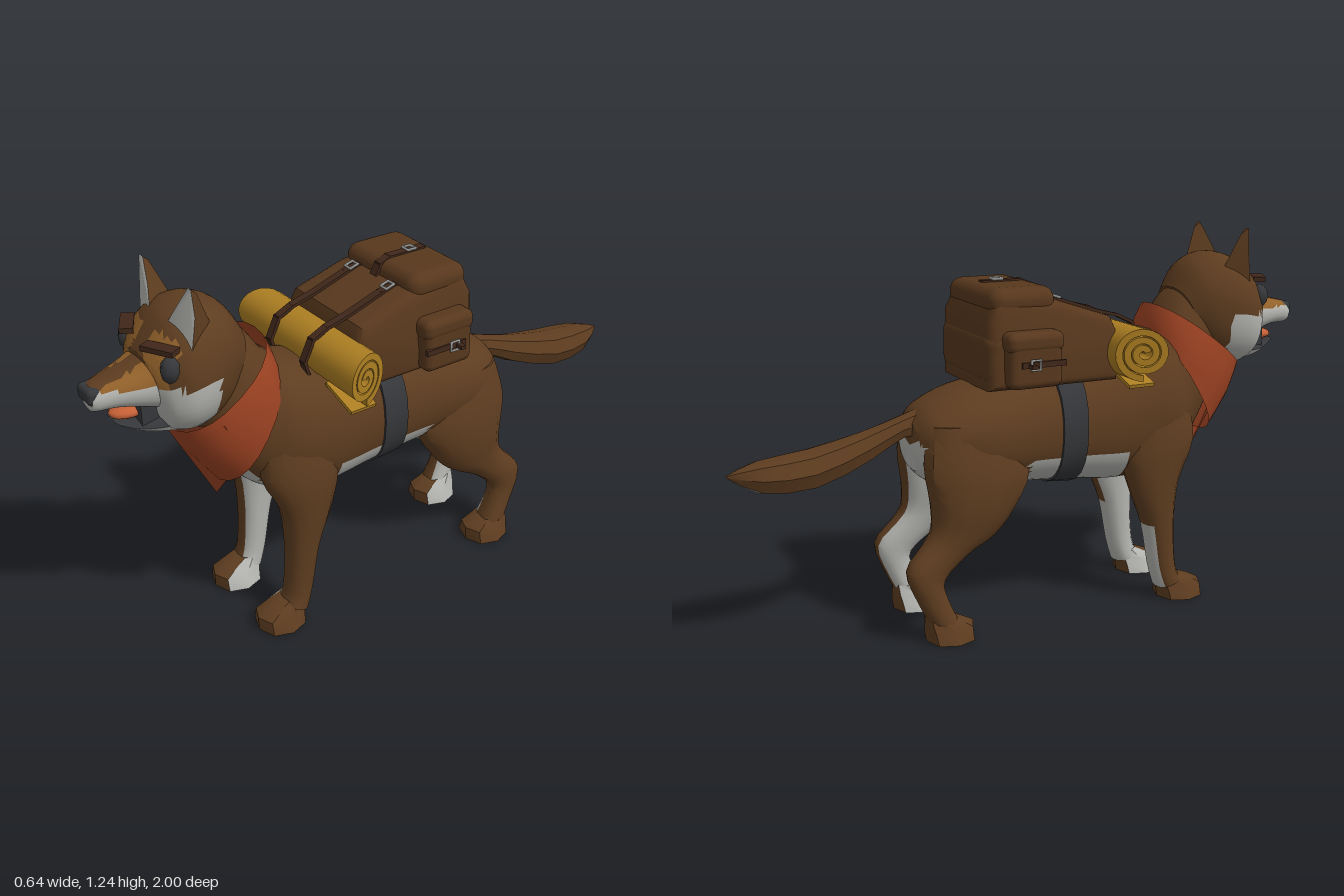
import * as THREE from 'three';
import { toCreasedNormals } from 'three/addons/utils/BufferGeometryUtils.js';
import { RoundedBoxGeometry } from 'three/addons/geometries/RoundedBoxGeometry.js';
import { ConvexGeometry } from 'three/addons/geometries/ConvexGeometry.js';

const mat = (name, color) => Object.assign(new THREE.MeshStandardMaterial({ color }), { name });

// Sorts triangles into material groups; pick(centroid, normal) returns the material index
function paint(geo, count, pick) {
  const p = (geo.index ? geo.toNonIndexed() : geo).attributes.position;
  const buckets = Array.from({ length: count }, () => []);
  const tri = new THREE.Triangle(), c = new THREE.Vector3(), n = new THREE.Vector3();
  for (let i = 0; i < p.count; i += 3) {
    tri.setFromAttributeAndIndices(p, i, i + 1, i + 2);
    if (tri.getArea() < 1e-9) continue;
    tri.getMidpoint(c);
    tri.getNormal(n);
    for (const v of [tri.a, tri.b, tri.c]) buckets[pick(c, n)].push(v.x, v.y, v.z);
  }
  const out = new THREE.BufferGeometry();
  out.setAttribute('position', new THREE.Float32BufferAttribute(buckets.flat(), 3));
  let start = 0;
  buckets.forEach((b, i) => {
    if (b.length) out.addGroup(start, b.length / 3, i);
    start += b.length / 3;
  });
  return toCreasedNormals(out, 0.65);
}

// Smooth in-between sections
function refine(rows, sub) {
  const out = [];
  for (let i = 0; i < rows.length - 1; i++) {
    const [a, b, c, d] = [-1, 0, 1, 2].map(k => rows[Math.min(rows.length - 1, Math.max(0, i + k))]);
    for (let s = 0; s < sub; s++) {
      const t = s / sub;
      out.push(b.map((v, k) => {
        const cubic = 3 * (v - c[k]) + d[k] - a[k];
        const square = 2 * a[k] - 5 * v + 4 * c[k] - d[k];
        return v + 0.5 * t * (c[k] - a[k] + t * (square + t * cubic));
      }));
    }
  }
  return [...out, rows[rows.length - 1]];
}

// Rounded body from sections [z1, y1, z2, y2, halfWidth, centreX]: two profile points and a width
function loft(rows, sides, { sub = 3, side = 1, count = 1, pick = () => 0, caps = true } = {}) {
  const pow = v => Math.sign(v) * Math.abs(v) ** 0.87;
  const rings = refine(rows.map(r => [...r, 0].slice(0, 6)), sub).map(([z1, y1, z2, y2, w, cx]) =>
    Array.from({ length: sides + 1 }, (_, j) => {
      const a = (j % sides) / sides * Math.PI * 2, k = pow(Math.cos(a)) / 2;
      return [cx * side + w * pow(Math.sin(a)), (y1 + y2) / 2 + (y1 - y2) * k, (z1 + z2) / 2 + (z1 - z2) * k];
    }));
  const pos = [];
  const mid = r => [0, 1, 2].map(k => (r[0][k] + r[sides / 2][k]) / 2);
  const first = rings[0], last = rings[rings.length - 1];
  for (let j = 0; j < sides; j++) {
    for (let i = 0; i < rings.length - 1; i++) {
      const A = rings[i][j], B = rings[i][j + 1], C = rings[i + 1][j + 1], D = rings[i + 1][j];
      pos.push(...A, ...D, ...C, ...A, ...C, ...B);
    }
    if (caps) pos.push(...mid(first), ...first[j], ...first[j + 1], ...mid(last), ...last[j + 1], ...last[j]);
  }
  const geo = new THREE.BufferGeometry();
  geo.setAttribute('position', new THREE.Float32BufferAttribute(pos, 3));
  return paint(geo, count, pick);
}

export function createModel() {
  const fur = mat('brown fur', 0x5e3d20), white = mat('pale fur', 0xb4b5b0), tan = mat('tan fur', 0x92612a);
  const dark = mat('dark grey', 0x36373a), leather = mat('pack leather', 0x58381d), strapMat = mat('strap leather', 0x40271a);
  const yellow = mat('yellow blanket', 0xac7e22), red = mat('red cloth', 0x9c4222), tongueMat = mat('tongue', 0xc46036);
  const metal = mat('buckle metal', 0x9a9a98);
  red.side = THREE.DoubleSide;
  const model = new THREE.Group(), dog = new THREE.Group(), pack = new THREE.Group();
  dog.name = 'dog';
  dog.position.x = -.008;
  pack.name = 'backpack';
  model.add(dog, pack);
  const add = (name, geo, material, x = 0, y = 0, z = 0, parent = dog) => {
    const m = new THREE.Mesh(geo, material);
    m.name = name;
    m.position.set(x, y, z);
    parent.add(m);
    return m;
  };

  // Torso and neck, with pale belly, chest and rump
  add('torso', loft([
    [-.43, .68, -.42, .52, .10], [-.38, .73, -.37, .48, .16], [-.25, .78, -.22, .46, .195], [-.05, .81, -.04, .445, .19],
    [.10, .83, .12, .43, .19], [.28, .86, .30, .415, .20], [.39, .895, .46, .46, .20], [.45, .94, .56, .54, .168],
    [.50, 1.01, .67, .72, .14], [.56, 1.07, .72, .78, .13]], 48, {
    sub: 6, count: 2, pick: c => (c.y < .545 && c.z > -.09 && c.z < .27) || (c.z > .3 && c.y < .66 && Math.abs(c.x) < .11)
      || (c.z < -.36 && c.y < .62 && Math.abs(c.x) < .14) ? 1 : 0 }), [fur, white]);

  // Tail with pale underside
  add('tail', loft([[-1, .572, -1, .565, .003], [-.905, .607, -.905, .505, .058], [-.75, .625, -.74, .50, .075],
    [-.58, .66, -.56, .565, .05], [-.46, .695, -.45, .625, .04], [-.36, .73, -.36, .62, .045]], 8, {
    sub: 2, count: 2, pick: (c, n) => n.y < -.4 && c.z < -.55 ? 1 : 0 }), [fur, white]);

  // Legs and paws, pale on the inside
  const frontLeg = [[.50, .72, .28, .66, .065, .125], [.53, .56, .26, .52, .075, .135], [.47, .42, .30, .38, .062, .145],
    [.455, .27, .345, .27, .054, .145], [.465, .12, .375, .12, .05, .145], [.485, .07, .40, .04, .055, .145]];
  const hindLeg = [[-.12, .68, -.40, .68, .075, .10], [-.07, .52, -.425, .56, .085, .12], [-.13, .40, -.41, .44, .08, .13],
    [-.20, .32, -.41, .36, .062, .135], [-.29, .27, -.44, .31, .05, .14], [-.375, .20, -.50, .235, .045, .15],
    [-.37, .14, -.465, .13, .042, .155], [-.34, .07, -.42, .04, .05, .155]];
  const paw = (z, x) => [[z - .09, .085, z - .16, .09, .042, x], [z - .04, .066, z - .165, .055, .056, x],
    [z, .045, z - .165, .03, .068, x], [z, 0, z - .16, 0, .082, x]];
  for (const side of [1, -1]) {
    const inner = (c, n) => n.x * side < -.4 || n.y < -.9 ? 1 : 0;
    const opts = { side, count: 2, pick: inner };
    add('frontLeg', loft(frontLeg, 14, { ...opts, pick: (c, n) => inner(c, n) || (n.z < -.6 && c.y < .28) ? 1 : 0 }), [fur, white]);
    add('frontPaw', loft(paw(.57, .14), 8, { ...opts, sub: 1 }), [fur, white]);
    add('hindLeg', loft(hindLeg, 14, opts), [fur, white]);
    add('hindPaw', loft(paw(-.28, .15), 8, { ...opts, sub: 1 }), [fur, white]);
  }

  // Head: brown skull, tan mask, pale cheeks
  const face = c => {
    const x = Math.abs(c.x);
    if (c.z > .66 && c.y < .955) return 1;
    return c.z > .755 && x > .035 && x < .14 && c.y < 1.09 ? 2 : 0;
  };
  const coat = [fur, white, tan];
  add('head', loft([[.52, 1.04, .60, .82, .12], [.575, 1.12, .64, .785, .155], [.66, 1.155, .70, .765, .178],
    [.745, 1.13, .75, .77, .18], [.80, 1.07, .79, .79, .15], [.83, 1.025, .81, .84, .11]], 40, { sub: 5, count: 3, pick: face }), coat);
  add('muzzle', loft([[.78, 1.03, .78, .85, .125], [.85, 1.00, .85, .872, .095], [.92, .982, .92, .888, .068],
    [.98, .967, .98, .89, .047], [.99, .955, .99, .90, .038]], 24, { count: 3, pick: face }), coat);
  add('lowerJaw', loft([[.75, .86, .75, .772, .11], [.83, .838, .83, .79, .08], [.88, .832, .88, .81, .058],
    [.925, .842, .92, .83, .032]], 12, { count: 2, pick: (c, n) => n.y > .3 ? 1 : 0 }), [white, dark]);
  add('mouthLining', new THREE.BoxGeometry(.125, .08, .07), dark, 0, .85, .825);
  add('tongue', new THREE.SphereGeometry(1, 14, 8), tongueMat, 0, .855, .87).scale.set(.043, .02, .062);
  add('nose', new RoundedBoxGeometry(.085, .05, .05, 2, .016), dark, 0, .941, .975);
  for (const s of [1, -1]) {
    add('eye', new THREE.SphereGeometry(1, 8, 6), dark, s * .13, 1.01, .79).scale.set(.03, .04, .032);
    add('brow', new THREE.BoxGeometry(.105, .016, .04), strapMat, s * .1, 1.066, .803).rotation.set(0, s * .5, 0);
    // Ear: pale hollow in front, brown behind
    const pts = [[.155, 1.05, .735], [.045, 1.10, .755], [.11, 1.08, .64], [.152, 1.24, .722], [.132, 1.238, .72],
      [.16, 1.16, .72], [.085, 1.17, .735], [.14, 1.22, .70]];
    add('ear', paint(new ConvexGeometry(pts.map(([x, y, z]) => new THREE.Vector3(x * s, y, z))), 2,
      (c, n) => n.z > .3 ? 1 : 0), [fur, white]);
  }

  // Neck scarf: band sweeping down the sides and folded triangle at the chest
  add('scarfBand', loft([[.415, .90, .63, .545, .182], [.425, .945, .71, .66, .182], [.445, .99, .757, .762, .168]], 24,
    { sub: 2, caps: false }), red);
  for (const s of [1, -1]) {
    const A = [0, .757, .762], B = [0, .467, .612], C = [s * .158, .665, .60], D = [s * .165, .80, .655];
    const geo = new THREE.BufferGeometry();
    geo.setAttribute('position', new THREE.Float32BufferAttribute(
      (s > 0 ? [A, B, C, A, C, D] : [A, C, B, A, D, C]).flat(), 3));
    geo.computeVertexNormals();
    add('scarfTriangle', geo, red);
  }

  // Girth strap around the belly
  add('girthStrap', loft([[.02, .832, .02, .432, .198], [.107, .845, .107, .424, .198]], 24, { sub: 1 }), dark);

  // Backpack body from its side profile, narrowing upwards
  const profile = [[.19, .81], [.195, .92], [.175, .965], [.01, 1.02], [-.18, 1.035], [-.2, .99], [-.2, .81]];
  const body = new THREE.ExtrudeGeometry(new THREE.Shape(profile.map(([z, y]) => new THREE.Vector2(-z, y))),
    { depth: .33, bevelSize: .028, bevelThickness: .04, bevelSegments: 4 });
  body.translate(0, 0, -.165).rotateY(Math.PI / 2);
  const bp = body.attributes.position;
  for (let i = 0; i < bp.count; i++) bp.setX(i, bp.getX(i) * (1 - .8 * Math.max(0, bp.getY(i) - .92)));
  add('packBody', toCreasedNormals(body, .7), leather, 0, 0, 0, pack);
  add('packLid', new RoundedBoxGeometry(.37, .09, .22, 4, .042), leather, 0, 1.05, -.105, pack);
  add('packBasePocket', new RoundedBoxGeometry(.40, .17, .09, 4, .043), leather, 0, .88, -.19, pack);

  // Straps: short bars joined along a path in the side plane
  const strap = (name, x, w, path) => path.slice(1).forEach(([z, y], i) => {
    const [z0, y0] = path[i], len = Math.hypot(z - z0, y - y0);
    const bar = add(name, new THREE.BoxGeometry(w, .01, len + .008), strapMat, x, (y + y0) / 2, (z + z0) / 2, pack);
    bar.rotation.x = -Math.atan2(y - y0, z - z0);
  });
  const buckle = (x, y, z, rx, ry) =>
    add('buckle', new THREE.TorusGeometry(.021, .005, 6, 4), metal, x, y, z, pack).rotation.set(rx, ry, Math.PI / 4);
  strap('lidStrap', 0, .03, [[-.17, 1.096], [-.04, 1.096], [0, 1.08], [.015, 1.05]]);
  buckle(0, 1.104, -.12, Math.PI / 2, 0);
  for (const s of [1, -1]) {
    strap('blanketStrap', s * .095, .028, [[-.01, 1.05], [.06, 1.037], [.18, .997], [.26, .976], [.315, .95],
      [.346, .885], [.325, .81], [.26, .785]]);
    buckle(s * .095, 1.052, .035, Math.PI / 2 + .3, 0);
    // Side pockets with flap, strap and buckle
    add('sidePocket', new RoundedBoxGeometry(.075, .165, .18, 3, .025), leather, s * .212, .875, -.095, pack);
    add('pocketFlap', new RoundedBoxGeometry(.085, .065, .19, 3, .025), leather, s * .21, .935, -.095, pack);
    add('pocketStrap', new THREE.BoxGeometry(.012, .018, .15), strapMat, s * .25, .87, -.075, pack);
    add('pocketStrapEnd', new THREE.BoxGeometry(.03, .012, .018), strapMat, s * .267, .868, -.12, pack);
    buckle(s * .258, .87, -.105, 0, Math.PI / 2);
  }

  // Rolled blanket: a spiral sheet with slanted ends
  const outer = [], inside = [], turns = 2.7;
  for (let i = 0; i <= 64; i++) {
    const t = i / 64, a = -Math.PI / 2 + t * turns * Math.PI * 2, r = .09 - t * .068;
    outer.push(new THREE.Vector2(Math.cos(a) * r, Math.sin(a) * r));
    inside.unshift(new THREE.Vector2(Math.cos(a) * (r - .021), Math.sin(a) * (r - .021)));
  }
  const roll = new THREE.ExtrudeGeometry(new THREE.Shape([...outer, ...inside]), { depth: .58, bevelEnabled: false });
  roll.translate(0, 0, -.29).rotateY(Math.PI / 2);
  const rp = roll.attributes.position;
  for (let i = 0; i < rp.count; i++) rp.setX(i, rp.getX(i) + Math.sign(rp.getX(i)) * rp.getZ(i) * .4);
  add('blanketRoll', toCreasedNormals(roll, .6), yellow, 0, .881, .253, pack);
  for (const s of [1, -1]) {
    add('blanketEdge', new THREE.BoxGeometry(.14, .012, .09), yellow, s * .21, .797, .255, pack).rotation.z = -s * .3;
  }

  return model;
}
